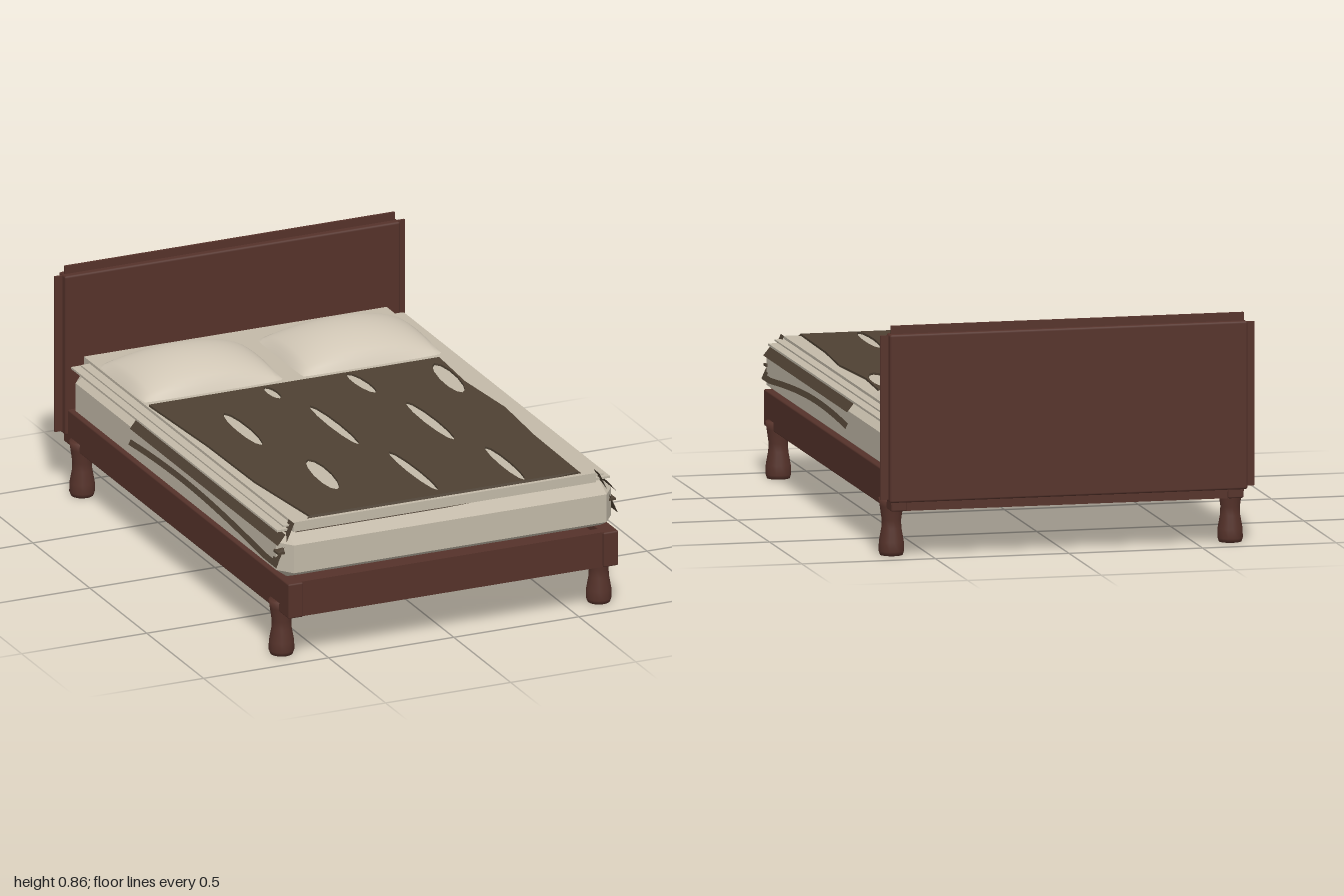
import * as THREE from 'three';
import { ConvexGeometry } from 'three/addons/geometries/ConvexGeometry.js';
import { RoundedBoxGeometry } from 'three/addons/geometries/RoundedBoxGeometry.js';

const mat = (name, color, side = THREE.FrontSide) => {
  const m = new THREE.MeshStandardMaterial({ color, side });
  m.name = name;
  return m;
};

export function createModel() {
  const bed = new THREE.Group();
  bed.name = 'bed';
  const wood = mat('darkWood', 0x55322a);
  const linen = mat('linen', 0xc2b9a8);
  const pillowCloth = mat('pillowCloth', 0xd0c6b5);
  const blanketCloth = mat('blanketCloth', 0x4e4133, THREE.DoubleSide);

  const add = (name, geo, material) => {
    const mesh = new THREE.Mesh(geo, material);
    mesh.name = name;
    bed.add(mesh);
    return mesh;
  };
  // Box given by its limits on each axis, optionally rounded
  const box = (name, material, [x0, x1], [y0, y1], [z0, z1], r = 0) => {
    const s = [x1 - x0, y1 - y0, z1 - z0];
    const geo = r ? new RoundedBoxGeometry(...s, 1, r) : new THREE.BoxGeometry(...s);
    add(name, geo, material).position.set((x0 + x1) / 2, (y0 + y1) / 2, (z0 + z1) / 2);
  };

  // Headboard: thick panel with a thin lipped core
  box('headboardPanel', wood, [-0.67, 0.67], [0.21, 0.83], [-1, -0.94], 0.008);
  box('headboardTopLip', wood, [-0.66, 0.66], [0.2, 0.86], [-0.976, -0.966]);
  box('headboardSideLip', wood, [-0.7, 0.7], [0.22, 0.825], [-0.976, -0.966]);

  // Frame rails
  for (const s of [-1, 1]) {
    const xs = [s * 0.6, s * 0.66].sort((a, b) => a - b);
    box('sideRail', wood, xs, [0.175, 0.31], [-0.98, 1], 0.006);
  }
  box('footRail', wood, [-0.61, 0.61], [0.175, 0.31], [0.95, 0.99]);
  box('headRail', wood, [-0.61, 0.61], [0.175, 0.31], [-0.97, -0.93]);

  // Slats
  const slats = 13;
  for (let i = 0; i < slats; i++) {
    const z = -0.85 + (i * 1.72) / (slats - 1);
    box('slat', wood, [-0.605, 0.605], [0.25, 0.28], [z - 0.037, z + 0.037]);
  }

  // Turned legs
  const legProfile = [[0, 0], [0.042, 0], [0.047, 0.015], [0.046, 0.05], [0.037, 0.1],
    [0.036, 0.13], [0.043, 0.18], [0.047, 0.21], [0, 0.21]].map(p => new THREE.Vector2(...p));
  const legGeo = new THREE.LatheGeometry(legProfile, 16);
  for (const x of [-0.634, 0.634]) for (const z of [-0.872, 0.88])
    add('leg', legGeo, wood).position.set(x, 0, z);

  // Mattress: bevelled block, one point per face corner
  const bevelBlock = (hx, hy, hz, bx, by, bz) => {
    const pts = [];
    for (const x of [-1, 1]) for (const y of [-1, 1]) for (const z of [-1, 1]) pts.push(
      new THREE.Vector3(x * hx, y * (hy - by), z * (hz - bz)),
      new THREE.Vector3(x * (hx - bx), y * hy, z * (hz - bz)),
      new THREE.Vector3(x * (hx - bx), y * (hy - by), z * hz));
    return new ConvexGeometry(pts);
  };
  add('mattress', bevelBlock(0.67, 0.087, 0.94, 0.045, 0.033, 0.06), linen)
    .position.set(0, 0.393, 0.03);

  // Layered sheets on top
  box('lowerSheet', linen, [-0.665, 0.665], [0.484, 0.492], [-0.9, 0.91]);
  box('topSheet', linen, [-0.605, 0.605], [0.48, 0.516], [-0.92, 0.92]);
  box('sheetHem', linen, [-0.64, 0.64], [0.5, 0.506], [-0.87, 0.91]);

  // Pillows: domed grids with straight edges
  for (const s of [-1, 1]) {
    const geo = new THREE.PlaneGeometry(2, 2, 28, 22);
    const p = geo.attributes.position;
    for (let i = 0; i < p.count; i++) {
      const u = p.getX(i), v = p.getY(i);
      const h = Math.pow(Math.max(0, 1 - u * u), 0.6) * Math.pow(Math.max(0, 1 - v * v), 0.55);
      p.setXYZ(i, s * 0.317 + u * 0.285, 0.512 + 0.103 * h, -0.61 - v * 0.212);
    }
    geo.computeVertexNormals();
    add('pillow', geo, pillowCloth);
  }

  // Blanket with leaf-shaped openings: [x, zStart, zEnd, width, lean]
  const V = (x, z) => new THREE.Vector2(x, -z);
  const outline = new THREE.Shape([
    V(-0.6, -0.36), V(0.56, -0.36), V(0.545, -0.1), V(0.57, 0.2), V(0.55, 0.5), V(0.545, 0.9),
    V(0.675, 0.9), V(0.675, 0.94), V(-0.675, 0.94), V(-0.675, 0.9),
    V(-0.53, 0.9), V(-0.57, 0.5), V(-0.575, 0.1)]);
  const openings = [
    [-0.14, -0.35, -0.22, 0.04, 0], [0.195, -0.35, -0.13, 0.05, 0.01],
    [0.505, -0.31, 0.0, 0.07, -0.03], [-0.39, -0.17, 0.18, 0.055, -0.01],
    [-0.07, -0.11, 0.32, 0.045, 0], [0.265, 0.0, 0.42, 0.05, 0],
    [-0.315, 0.38, 0.7, 0.07, -0.03], [0, 0.43, 0.86, 0.045, 0],
    [0.335, 0.53, 0.895, 0.045, -0.01]];
  for (const [x, z0, z1, w, lean] of openings) {
    const ring = [];
    for (let i = 0; i < 12; i++) {
      const a = (i / 12) * Math.PI * 2, c = Math.cos(a);
      ring.push(V(x + Math.sin(a) * w / 2 + c * lean / 2, (z0 + z1) / 2 + c * (z1 - z0) / 2));
    }
    outline.holes.push(new THREE.Path(ring));
  }
  const blanket = new THREE.ExtrudeGeometry(outline, { depth: 0.008, bevelEnabled: false });
  blanket.rotateX(-Math.PI / 2).translate(0, 0.517, 0);
  // Let the overhanging front corners sink a little
  const bp = blanket.attributes.position;
  for (let i = 0; i < bp.count; i++)
    if (Math.abs(bp.getX(i)) > 0.66) bp.setY(i, bp.getY(i) - 0.11);
  blanket.computeVertexNormals();
  add('blanket', blanket, blanketCloth);

  // Ribbon between two edges, each a function of t giving [x, y, z]
  const ribbon = (name, edgeA, edgeB, n) => {
    const pos = [], idx = [];
    for (let i = 0; i <= n; i++) {
      pos.push(...edgeA(i / n), ...edgeB(i / n));
      if (i < n) idx.push(2 * i, 2 * i + 1, 2 * i + 2, 2 * i + 1, 2 * i + 3, 2 * i + 2);
    }
    const geo = new THREE.BufferGeometry();
    geo.setAttribute('position', new THREE.Float32BufferAttribute(pos, 3));
    geo.setIndex(idx);
    geo.computeVertexNormals();
    add(name, geo, blanketCloth);
  };
  // Blanket sides: upper fold, wavy lower hem and front corner flap
  const zAt = t => 0.94 - 1.3 * t;
  const hem = t => 0.357 + 0.042 * Math.sin(Math.PI * Math.min(1, Math.max(0, t - 0.08) / 1.15));
  for (const s of [-1, 1]) {
    ribbon('blanketFold', t => [s * 0.645, 0.482, zAt(t)], t => [s * 0.676, 0.443, zAt(t)], 1);
    ribbon('blanketHem', t => [s * 0.673, hem(t) + 0.02, zAt(t)], t => [s * 0.682, hem(t), zAt(t)], 24);
    ribbon('blanketCornerFlap', t => [s * (0.61 + 0.072 * t), 0.52 - 0.16 * t, 0.94],
      t => [s * (0.61 + 0.072 * t), 0.52 - 0.16 * t, 0.89], 4);
  }
  return bed;
}
